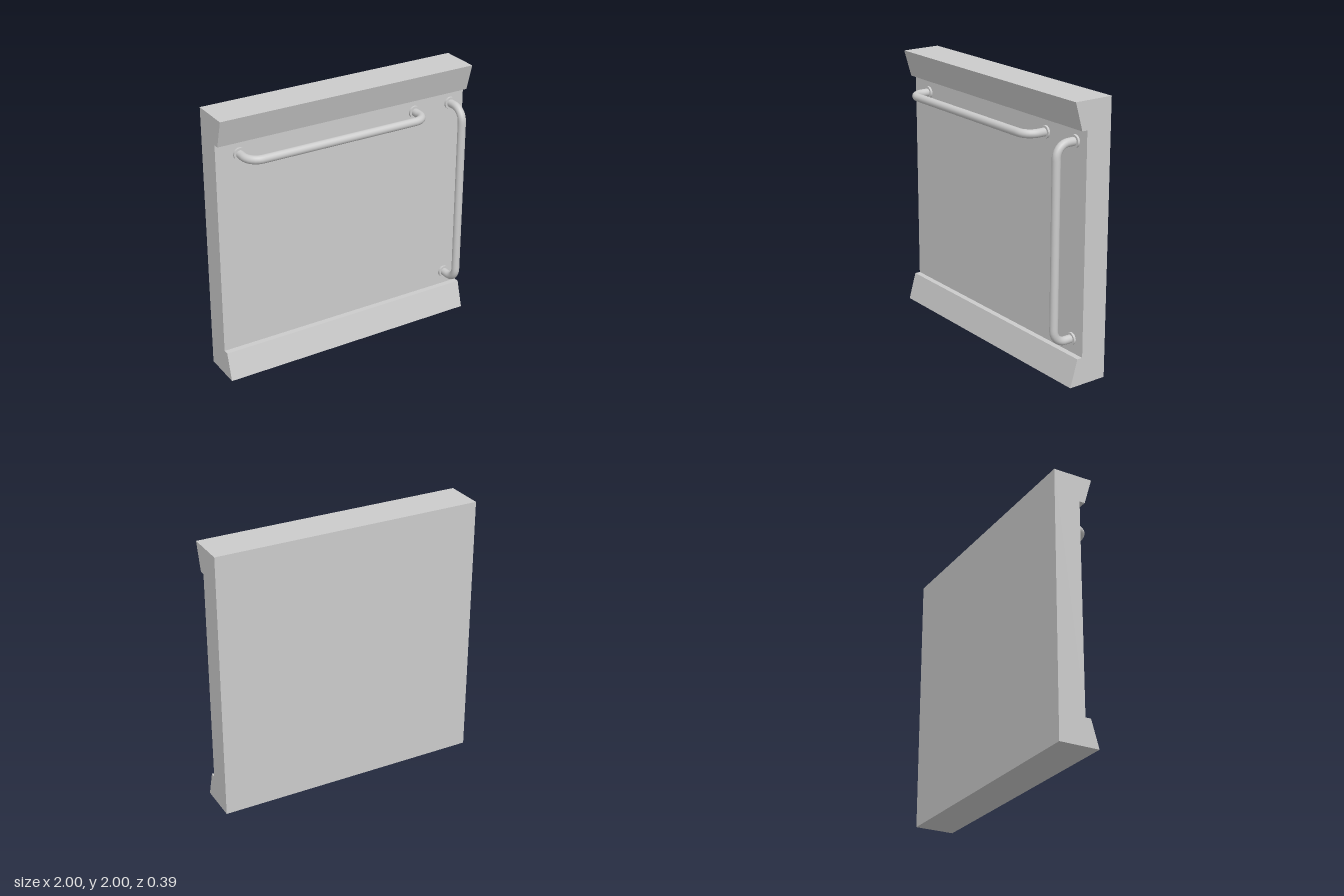
import * as THREE from 'three';

const BACK = -0.195, FACE = 0.005, BAR_Z = 0.165, BEND = 0.095;

export function createModel() {
  const model = new THREE.Group();
  model.name = 'panelWithHandles';
  const material = new THREE.MeshStandardMaterial({ color: 0xcccccc });

  const add = (parent, geometry, name) => {
    const mesh = new THREE.Mesh(geometry, material);
    mesh.name = name;
    parent.add(mesh);
    return mesh;
  };

  // Slab with sloping lips along top and bottom: side profile (z, y) swept across x
  const profile = [
    [BACK, 0], [0.105, 0], [0.047, 0.2], [FACE, 0.2],
    [FACE, 1.8], [0.047, 1.8], [0.105, 2], [BACK, 2],
  ].map(([z, y]) => new THREE.Vector2(z, y));
  const slab = new THREE.ExtrudeGeometry(new THREE.Shape(profile), { depth: 2, bevelEnabled: false });
  slab.rotateY(-Math.PI / 2).translate(1, 0, 0);
  add(model, slab, 'panel');

  // Bent tube handle with a round flange at each end, lying along x
  function createHandle(name, length) {
    const handle = new THREE.Group();
    handle.name = name;
    const h = length / 2;
    const v = (x, z) => new THREE.Vector3(x, 0, z);
    const k = BEND * 0.4477; // control offset for a quarter-circle bend
    const path = new THREE.CurvePath();
    path.add(new THREE.LineCurve3(v(-h, FACE), v(-h, BAR_Z - BEND)));
    path.add(new THREE.CubicBezierCurve3(
      v(-h, BAR_Z - BEND), v(-h, BAR_Z - k), v(-h + k, BAR_Z), v(-h + BEND, BAR_Z)));
    path.add(new THREE.LineCurve3(v(-h + BEND, BAR_Z), v(h - BEND, BAR_Z)));
    path.add(new THREE.CubicBezierCurve3(
      v(h - BEND, BAR_Z), v(h - k, BAR_Z), v(h, BAR_Z - k), v(h, BAR_Z - BEND)));
    path.add(new THREE.LineCurve3(v(h, BAR_Z - BEND), v(h, FACE)));
    add(handle, new THREE.TubeGeometry(path, 80, 0.03, 16), 'bar');

    for (const x of [-h, h]) {
      const flange = new THREE.CylinderGeometry(0.045, 0.045, 0.016, 24);
      flange.rotateX(Math.PI / 2).translate(x, 0, FACE + 0.008);
      add(handle, flange, 'flange');
    }
    model.add(handle);
    return handle;
  }

  createHandle('horizontalHandle', 1.4).position.set(-0.123, 1.7, 0);

  const vertical = createHandle('verticalHandle', 1.4);
  vertical.rotation.z = Math.PI / 2;
  vertical.position.set(0.885, 1.005, 0);

  return model;
}
